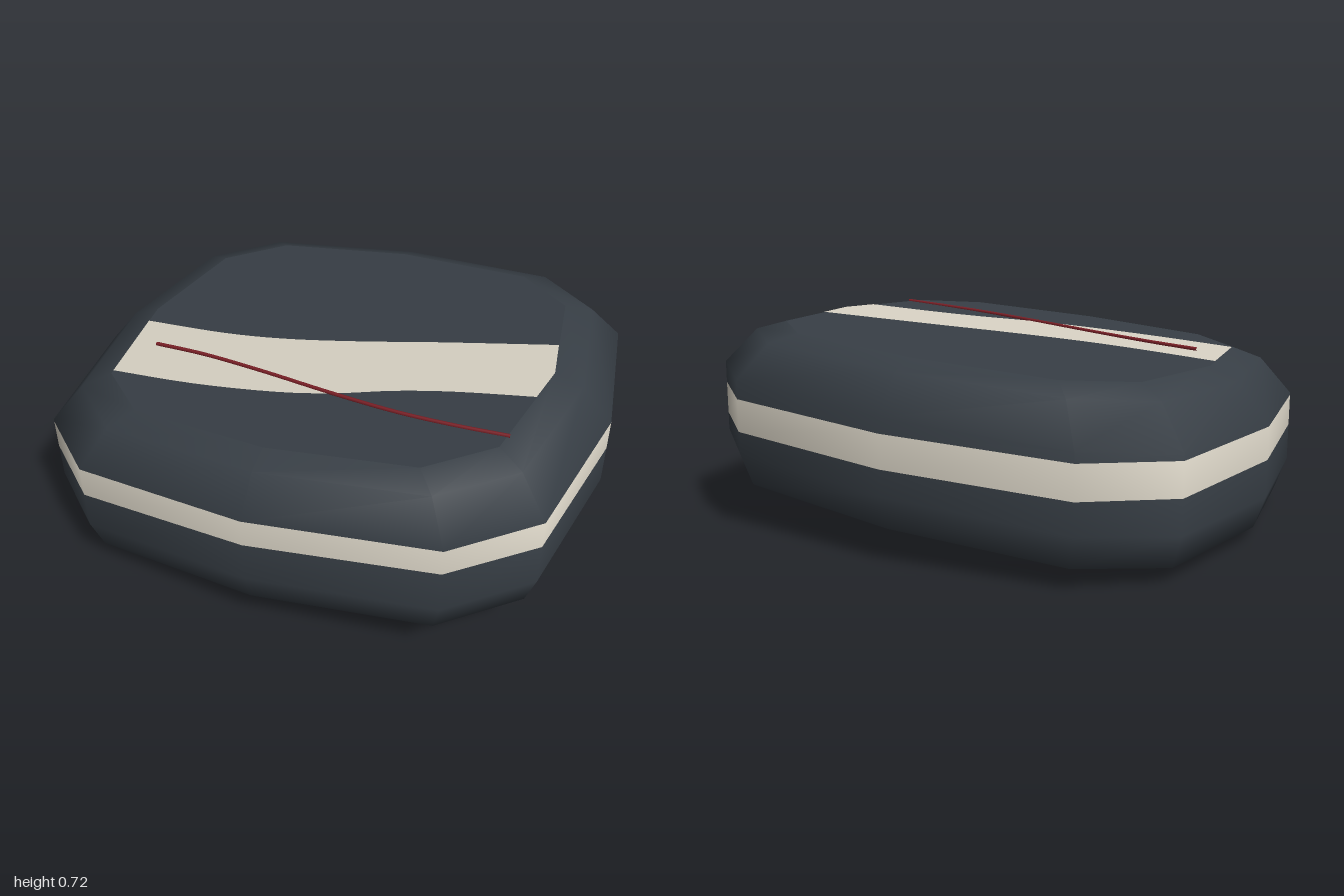
import * as THREE from 'three';

const SLOPE = 0.076; // the slab leans up towards +x
const CAP = 0.785;   // size of the flat faces relative to the widest outline
const BOTTOM = 0.06, TOP = 0.66;

const slate = new THREE.MeshStandardMaterial({ color: 0x373e45 });
const cream = new THREE.MeshStandardMaterial({ color: 0xd8d2c4 });
const red = new THREE.MeshStandardMaterial({ color: 0x7d2027 });
slate.name = 'slate';
cream.name = 'cream';
red.name = 'red';

// Twelve-sided outline, from +x round through the front; first corner repeats at the seam
const quarter = [[1, 0], [0.913, 0.57], [0.655, 0.79], [0, 0.86]];
const half = [...quarter, ...quarter.slice(0, 3).reverse().map(([x, z]) => [-x, z])];
const outline = [...half, ...half.slice(0, 6).reverse().map(([x, z]) => [x, -z])];

// Profile rings: scale of outline, height
const rings = [[CAP, BOTTOM], [0.96, 0.12], [1, 0.235], [1, 0.495], [0.887, 0.625], [CAP, TOP]];
// Lower edge of the painted band at each outline corner; it steps at the seam
const bandLow = [0.38, 0.392, 0.397, 0.39, 0.376, 0.37, 0.368, 0.355, 0.343, 0.325, 0.312, 0.299, 0.285];
const BAND_HEIGHT = 0.117;

const lean = (x, y, z) => new THREE.Vector3(x, y + SLOPE * x, z);

// Grid of quads from rows of points
function gridGeometry(rows, normals) {
  const n = rows[0].length, index = [];
  for (let r = 0; r < rows.length - 1; r++) {
    for (let c = 0; c < n - 1; c++) {
      const a = r * n + c, d = a + n;
      index.push(a, d, a + 1, a + 1, d, d + 1);
    }
  }
  const geo = new THREE.BufferGeometry().setFromPoints(rows.flat());
  geo.setIndex(index);
  if (normals) {
    const flat = normals.flat().flatMap(v => v.toArray());
    geo.setAttribute('normal', new THREE.Float32BufferAttribute(flat, 3));
  } else geo.computeVertexNormals();
  return geo;
}

// Smooth normals of the rounded side, joined across the seam
function sideNormals(rows) {
  const attr = gridGeometry(rows).attributes.normal, n = rows[0].length;
  return rows.map((row, r) => {
    const list = row.map((_, c) => new THREE.Vector3().fromBufferAttribute(attr, r * n + c));
    list[0].add(list[n - 1]).normalize();
    list[n - 1].copy(list[0]);
    return list;
  });
}

// Flat face following the lean; points are [x, z]
function plate(points, y, faceUp) {
  const s = faceUp ? -1 : 1;
  const shape = new THREE.Shape(points.map(([x, z]) => new THREE.Vector2(x, s * z)));
  const geo = new THREE.ShapeGeometry(shape).rotateX(s * Math.PI / 2);
  const p = geo.attributes.position;
  for (let i = 0; i < p.count; i++) p.setY(i, y + SLOPE * p.getX(i));
  geo.computeVertexNormals();
  return geo;
}

export function createModel() {
  const group = new THREE.Group();
  const add = (name, geo, material) => {
    const mesh = new THREE.Mesh(geo, material);
    mesh.name = name;
    group.add(mesh);
  };

  // Rounded side, split into lower body, painted band and upper body
  const rows = rings.map(([s, y]) => outline.map(([x, z]) => lean(x * s, y, z * s)));
  const normals = sideNormals(rows);
  const [wallLow, wallHigh] = [rings[2][1], rings[3][1]];
  const wallRow = heights => ({
    points: outline.map(([x, z], c) => lean(x, heights[c], z)),
    normals: heights.map((y, c) => normals[2][c].clone()
      .lerp(normals[3][c], (y - wallLow) / (wallHigh - wallLow)).normalize()),
  });
  const low = wallRow(bandLow);
  const high = wallRow(bandLow.map(y => Math.min(y + BAND_HEIGHT, wallHigh)));
  add('lowerBody', gridGeometry([...rows.slice(0, 3), low.points], [...normals.slice(0, 3), low.normals]), slate);
  add('sideBand', gridGeometry([low.points, high.points], [low.normals, high.normals]), cream);
  add('upperBody', gridGeometry([high.points, ...rows.slice(3)], [high.normals, ...normals.slice(3)]), slate);

  // Flat top and bottom
  const capOutline = outline.slice(0, 12).map(([x, z]) => [x * CAP, z * CAP]);
  add('topFace', plate(capOutline, TOP, true), slate);
  add('bottomFace', plate(capOutline, BOTTOM, false), slate);

  // Sweeping painted ribbon on both flat faces
  const edge = pts => new THREE.SplineCurve(pts.map(p => new THREE.Vector2(...p)))
    .getPoints(24).map(p => [p.x, p.y]);
  const ribbon = [
    ...edge([[-0.771, 0.09], [-0.45, 0.088], [-0.2, 0.06], [0.07, 0], [0.35, -0.075], [0.757, -0.175]]),
    [0.785, 0],
    ...edge([[0.761, 0.155], [0.5, 0.203], [0.3, 0.257], [0.1, 0.333], [-0.1, 0.383], [-0.4, 0.42], [-0.719, 0.43]]),
  ];
  add('topRibbon', plate(ribbon, TOP + 0.002, true), cream);
  add('bottomRibbon', plate(ribbon, BOTTOM - 0.002, false), cream);

  // Thin red strand lying across the top
  const strand = [[-0.65, 0.235], [-0.45, 0.247], [-0.2, 0.283], [0.1, 0.337], [0.35, 0.373], [0.55, 0.385], [0.735, 0.386]];
  const path = new THREE.CatmullRomCurve3(strand.map(([x, z]) => lean(x, TOP + 0.005 - 0.005 * x, z)));
  add('strand', new THREE.TubeGeometry(path, 40, 0.007, 6), red);

  return group;
}
